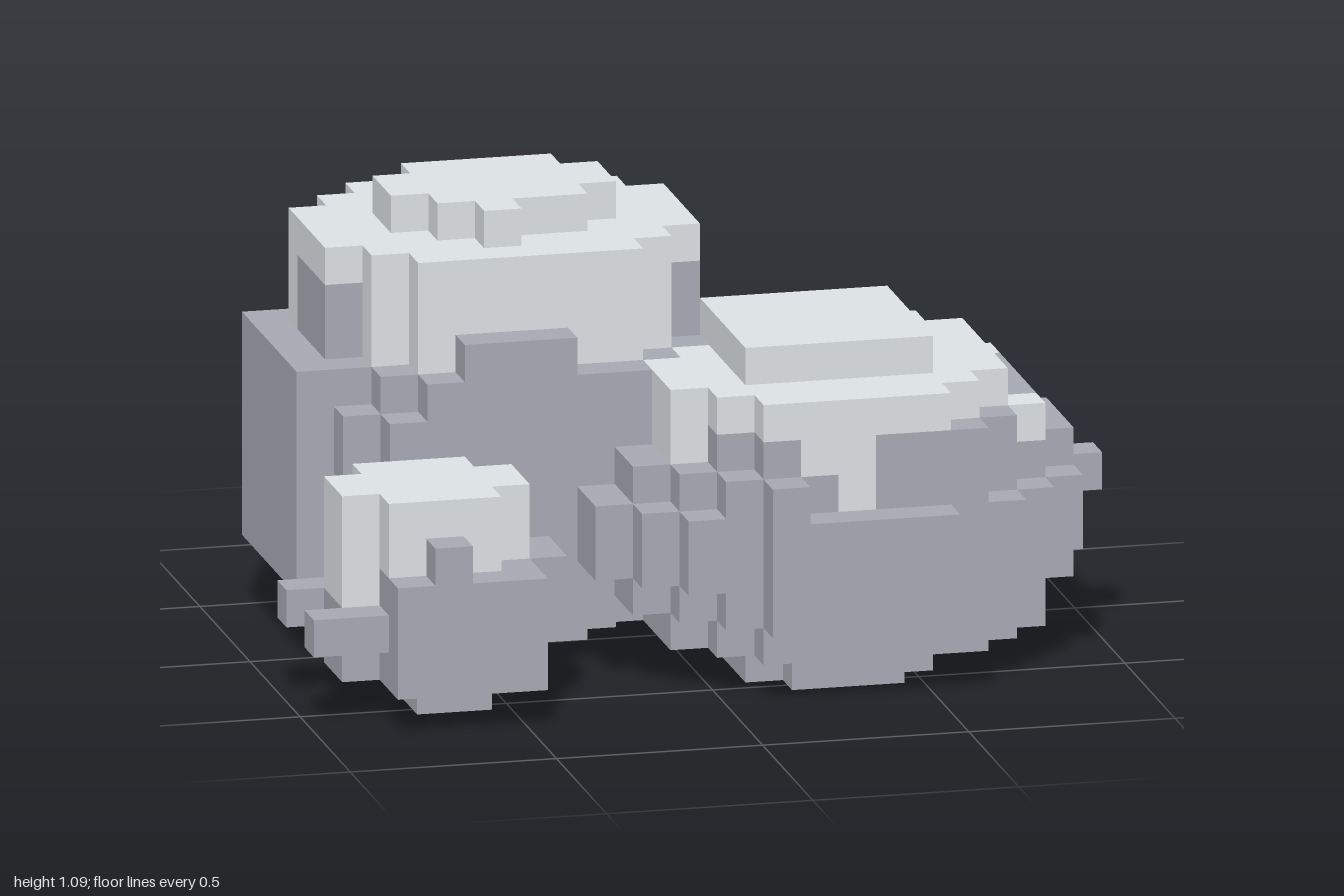
import * as THREE from 'three';

const U = 1 / 11; // edge of one block

const stone = new THREE.MeshStandardMaterial({ color: 0xa7a9b3 });
stone.name = 'dark stone';
const pale = new THREE.MeshStandardMaterial({ color: 0xdce1e4 });
pale.name = 'pale stone cap';

const key = (x, y, z) => `${x},${y},${z}`;

// Tools that fill one rock's blocks in a shared grid
function rockTools(grid, owner, x0, x1, z0, z1) {
  // Box of blocks with stepped corners; a null material carves
  const fill = (mat, ax, bx, ay, by, az, bz, cut = 0) => {
    for (let x = ax; x < bx; x++) for (let y = ay; y < by; y++) for (let z = az; z < bz; z++) {
      const corner = Math.min(x - ax, bx - 1 - x) + Math.min(z - az, bz - 1 - z);
      const k = key(x, y, z), old = grid.get(k);
      if (corner < cut || (old && old.owner !== owner)) continue;
      if (mat) grid.set(k, { owner, mat, p: [x, y, z] });
      else grid.delete(k);
    }
  };
  // Horizontal layer set in from the rock's outline
  const layer = (mat, y0, y1, insetX, insetZ, cut) =>
    fill(mat, x0 + insetX, x1 - insetX, y0, y1, z0 + insetZ, z1 - insetZ, cut);
  return { fill, layer };
}

function fillLargeBoulder(grid) {
  const { fill, layer } = rockTools(grid, 'largeBoulder', -9, 1, -7, 3);
  fill(stone, -8, -1, 0, 1, -6, 0, 1);
  fill(stone, -9, 1, 1, 2, -7, 2, 2);
  layer(stone, 2, 3, 0, 0, 2);
  layer(stone, 3, 7, 0, 0, 1);
  layer(stone, 7, 8, 0, 0, 2);
  // cap and crown
  layer(pale, 8, 11, 0, 1, 2);
  layer(pale, 11, 12, 2, 3, 1);
  fill(pale, -5, -4, 11, 12, 0, 1);
  // plates and ledges: left, back, front, right
  fill(stone, -10, -9, 2, 8, -5, 1);
  fill(stone, -9, -8, 8, 10, -3, 0);
  fill(stone, -6, -1, 8, 9, -7, -6);
  fill(stone, -6, -4, 4, 5, -8, -7);
  fill(stone, -6, -3, 8, 9, 2, 3);
  fill(stone, 1, 2, 3, 7, -5, 1);
  for (const z of [-4, -1]) fill(stone, 0, 1, 8, 10, z, z + 1);
  fill(stone, 0, 1, 8, 10, -5, -4);
  fill(stone, 0, 1, 8, 9, -2, -1);
}

function fillFrontBoulder(grid) {
  const { fill, layer } = rockTools(grid, 'frontBoulder', -2, 9, -2, 7);
  fill(stone, 1, 6, 0, 1, 0, 6, 1);
  fill(stone, -1, 9, 1, 2, -2, 7, 2);
  layer(stone, 2, 3, 0, 0, 2);
  layer(stone, 3, 5, 0, 0, 1);
  layer(stone, 5, 6, 0, 0, 2);
  fill(stone, -1, 9, 6, 7, -2, 7, 2);
  // cap, crown and pale drips
  layer(pale, 7, 8, 1, 0, 2);
  layer(pale, 8, 9, 3, 2, 0);
  fill(pale, 2, 4, 8, 9, 4, 5);
  fill(pale, -1, 1, 6, 7, 2, 6, 1);
  fill(pale, 2, 4, 6, 7, 6, 7);
  fill(pale, 3, 4, 5, 6, 6, 7);
  for (const z of [-1, 4]) fill(pale, 8, 9, 6, 7, z, z + 1);
  // plates and ledges: right, front, left, back
  fill(stone, 9, 10, 3, 5, 0, 5);
  fill(stone, 9, 10, 2, 6, 1, 4);
  fill(stone, 10, 11, 4, 5, 2, 3);
  fill(stone, 1, 5, 2, 5, 7, 8);
  fill(stone, 5, 6, 4, 5, 7, 8);
  fill(stone, 1, 2, 5, 6, 7, 8);
  fill(stone, -3, -2, 3, 5, 3, 5);
  fill(stone, 1, 7, 3, 6, -3, -2);
  fill(stone, 8, 9, 3, 5, -2, -1);
}

function fillLeftSmallRock(grid) {
  const { fill, layer } = rockTools(grid, 'leftSmallRock', 2, 8, -8, -3);
  fill(stone, 3, 8, 1, 2, -8, -3, 1);
  layer(stone, 2, 4, 0, 0, 1);
  for (const z of [-8, -4]) fill(stone, 7, 8, 2, 4, z, z + 1);
  // cap, drip and side knobs
  fill(pale, 3, 7, 4, 5, -7, -3);
  fill(pale, 3, 5, 4, 5, -8, -7);
  fill(null, 7, 8, 3, 4, -6, -5);
  fill(pale, 6, 7, 3, 4, -6, -5);
  fill(stone, 7, 8, 4, 5, -5, -4);
  fill(stone, 8, 9, 2, 3, -6, -5);
}

function fillRightSmallRock(grid) {
  const { fill, layer } = rockTools(grid, 'rightSmallRock', -10, -4, 3, 7);
  fill(stone, -8, -6, 0, 1, 4, 6);
  fill(stone, -10, -5, 1, 2, 3, 7, 1);
  layer(stone, 2, 4, 0, 0, 1);
  // cap
  fill(pale, -10, -5, 4, 6, 3, 7, 1);
  fill(pale, -10, -9, 3, 4, 4, 6);
  // front plate and side knobs
  fill(stone, -9, -5, 1, 4, 7, 8);
  fill(stone, -8, -7, 4, 5, 7, 8);
  fill(stone, -11, -9, 2, 3, 3, 4);
  fill(stone, -11, -9, 2, 3, 6, 7);
}

// Exposed block faces of one rock in one colour
function shell(grid, owner, mat) {
  const pos = [], nor = [];
  for (const b of grid.values()) {
    if (b.owner !== owner || b.mat !== mat) continue;
    for (let a = 0; a < 3; a++) for (const s of [1, -1]) {
      const n = [0, 0, 0];
      n[a] = s;
      if (grid.has(key(b.p[0] + n[0], b.p[1] + n[1], b.p[2] + n[2]))) continue;
      const u = (a + 1) % 3, v = (a + 2) % 3;
      const loop = [[0, 0], [1, 0], [1, 1], [0, 0], [1, 1], [0, 1]];
      for (const [i, j] of s > 0 ? loop : loop.reverse()) {
        const c = [...b.p];
        c[a] += s > 0 ? 1 : 0;
        c[u] += i;
        c[v] += j;
        pos.push(c[0] * U, c[1] * U, c[2] * U);
        nor.push(...n);
      }
    }
  }
  const g = new THREE.BufferGeometry();
  g.setAttribute('position', new THREE.Float32BufferAttribute(pos, 3));
  g.setAttribute('normal', new THREE.Float32BufferAttribute(nor, 3));
  return g;
}

export function createModel() {
  const model = new THREE.Group();
  model.name = 'rockCluster';
  const grid = new Map();
  fillLargeBoulder(grid);
  fillFrontBoulder(grid);
  fillLeftSmallRock(grid);
  fillRightSmallRock(grid);
  for (const owner of ['largeBoulder', 'frontBoulder', 'leftSmallRock', 'rightSmallRock']) {
    const rock = new THREE.Group();
    rock.name = owner;
    for (const [part, mat] of [['body', stone], ['cap', pale]]) {
      const mesh = new THREE.Mesh(shell(grid, owner, mat), mat);
      mesh.name = part;
      rock.add(mesh);
    }
    model.add(rock);
  }
  return model;
}
